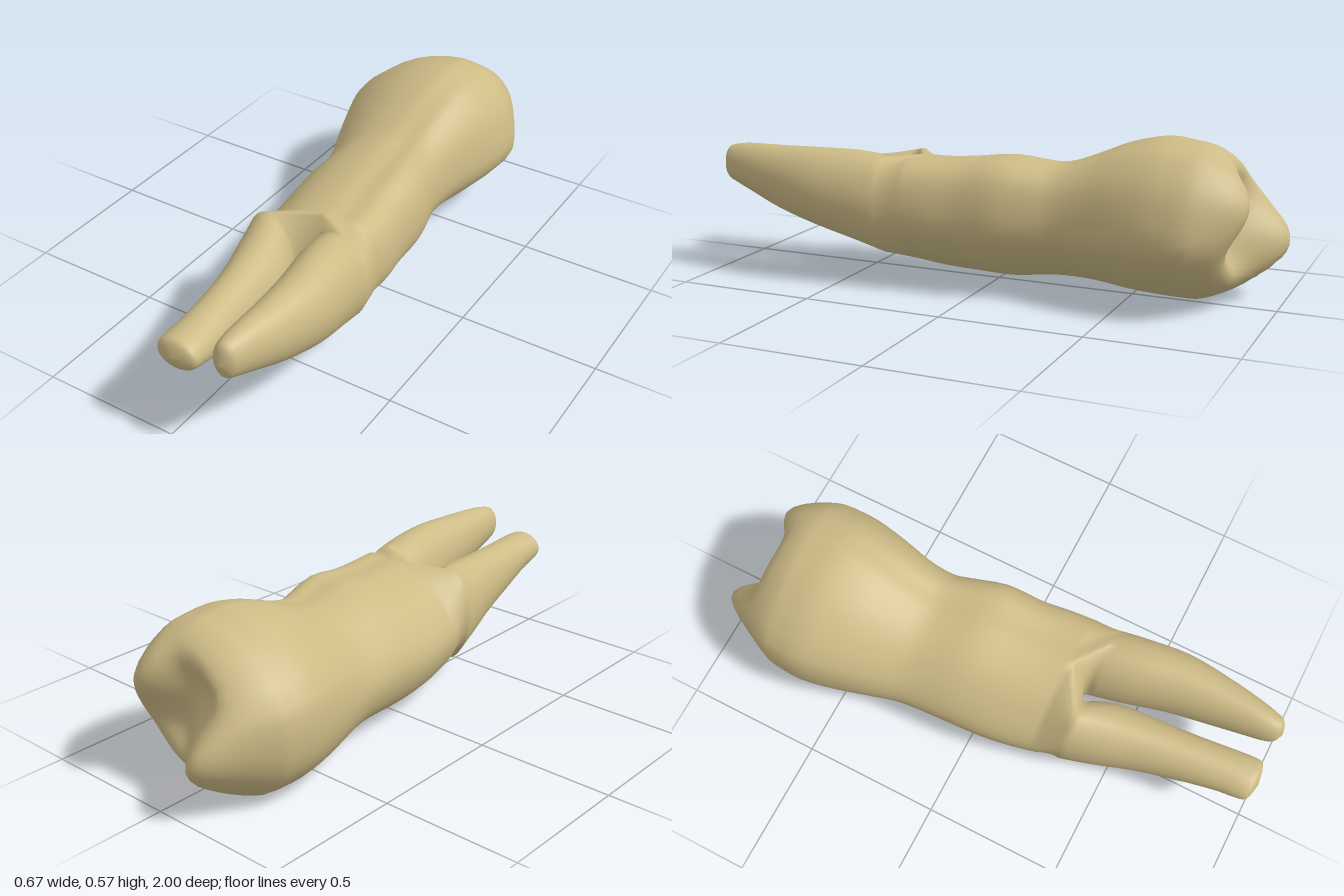
import * as THREE from 'three';
import { mergeVertices } from 'three/addons/utils/BufferGeometryUtils.js';

const N = 48, H = N / 2; // points per ring; half a ring belongs to each root

// Outlines, clockwise seen from +z, starting at the top of the groove between the roots
const CROWN = [[.06, .567], [.13, .555], [.2, .53], [.28, .45], [.32, .36], [.335, .24], [.26, .14], [.15, .06],
  [.07, .025], [-.02, .008], [-.1, 0], [-.2, .02], [-.3, .11], [-.335, .22], [-.315, .37], [-.13, .52]];
const NECK = [[.06, .465], [.14, .462], [.21, .465], [.27, .42], [.3, .33], [.295, .22], [.23, .13], [.14, .065],
  [.07, .035], [0, .03], [-.08, .035], [-.17, .07], [-.22, .14], [-.235, .23], [-.19, .32], [-.08, .42]];

// Body sections: z, xMin, xMax, yMin, yMax, blend from crown to neck outline
const BODY = [
  [-.72, -.33, .31, 0, .557, 0], [-.62, -.335, .305, 0, .567, 0], [-.5, -.31, .28, .01, .54, .2],
  [-.38, -.275, .25, .03, .49, .5], [-.28, -.245, .24, .04, .455, .8], [-.2, -.235, .255, .04, .455, 1],
  [-.08, -.228, .285, .03, .47, 1], [.05, -.22, .29, .035, .455, 1], [.16, -.205, .305, .045, .448, 1],
  [.26, -.185, .31, .06, .45, 1]];

// Root sections: z, xMin, xMax, yMin, yMax
const LEFT_ROOT = [
  [.34, .08, .318, .11, .455], [.45, .095, .328, .145, .468], [.6, .125, .336, .19, .47], [.75, .143, .315, .235, .466],
  [.88, .155, .285, .285, .463], [.95, .163, .265, .312, .455], [.985, .178, .248, .33, .44], [1, .21, .212, .38, .382]];
const RIGHT_ROOT = [
  [.34, -.172, .03, .08, .435], [.45, -.145, .08, .105, .415], [.6, -.1, .09, .145, .4], [.75, -.07, .097, .19, .392],
  [.88, -.052, .105, .24, .388], [.95, -.048, .108, .263, .385], [.985, -.035, .098, .28, .375], [1, .025, .027, .325, .327]];

// Smoothly adds rows between the given sections
function refine(rows, steps) {
  const out = [];
  for (let i = 0; i < rows.length - 1; i++) {
    const p = [rows[Math.max(i - 1, 0)], rows[i], rows[i + 1], rows[Math.min(i + 2, rows.length - 1)]];
    for (let s = 0; s < steps; s++) {
      const t = s / steps;
      out.push(rows[i].map((_, c) => {
        const [a, b, d, e] = p.map(r => r[c]);
        return b + .5 * t * (d - a + t * (2 * a - 5 * b + 4 * d - e + t * (3 * (b - d) + e - a)));
      }));
    }
  }
  out.push(rows[rows.length - 1]);
  return out;
}

// Samples an outline into N points scaled to a unit box
function unitOutline(points) {
  const curve = new THREE.CatmullRomCurve3(points.map(([x, y]) => new THREE.Vector3(x, y, 0)), true);
  const ring = Array.from({ length: N }, (_, i) => curve.getPoint(i / N));
  const box = new THREE.Box3().setFromPoints(ring);
  const size = box.getSize(new THREE.Vector3());
  return ring.map(p => [(p.x - box.min.x) / size.x, (p.y - box.min.y) / size.y]);
}

// Depth of the chewing surface: two cusps, a fossa and two marginal ridges
function chewingDepth(x, y) {
  const dx = x - .005, dy = y - .29;
  const u = .88 * dx + .48 * dy, v = -.48 * dx + .88 * dy;
  const bump = (a, cu, cv, su, sv) => a * Math.exp(-(((u - cu) / su) ** 2) - ((v - cv) / sv) ** 2);
  return -(.8 + bump(.215, -.19, 0, .12, .19) + bump(.145, .19, 0, .12, .19)
    + bump(.07, 0, .2, .14, .07) + bump(.07, 0, -.2, .14, .07));
}

export function createModel() {
  const enamel = new THREE.MeshStandardMaterial({ color: 0xcdbb86 });
  enamel.name = 'ivory';

  const positions = [];
  const tri = (...ps) => ps.forEach(p => positions.push(p.x, p.y, p.z));
  const stitch = rings => {
    for (let r = 0; r < rings.length - 1; r++) {
      const a = rings[r], b = rings[r + 1];
      for (let i = 0; i < N; i++) {
        const j = (i + 1) % N;
        tri(a[i], b[i], b[j]);
        tri(a[i], b[j], a[j]);
      }
    }
  };

  // Body from the widest part of the crown to the fork
  const crown = unitOutline(CROWN), neck = unitOutline(NECK);
  const body = refine(BODY, 3).map(([z, x0, x1, y0, y1, k]) => crown.map(([cx, cy], i) => new THREE.Vector3(
    THREE.MathUtils.lerp(x0, x1, THREE.MathUtils.lerp(cx, neck[i][0], k)),
    THREE.MathUtils.lerp(y0, y1, THREE.MathUtils.lerp(cy, neck[i][1], k)), z)));

  // Chewing surface: rings shrinking from the rim to the middle
  const rim = body[0], rimZ = BODY[0][0], centre = new THREE.Vector3(0, .285, rimZ);
  const radii = [0, .08, .16, .24, .32, .4, .48, .56, .64, .72, .8, .87, .93, .97, .99];
  const cap = radii.map(r => rim.map(p => {
    const q = centre.clone().lerp(p, r);
    q.z = rimZ + (chewingDepth(q.x, q.y) - rimZ) * Math.sqrt(1 - r ** 4);
    return q;
  }));
  stitch([...cap, ...body]);

  // Web of the fork, shared by both roots, from the bottom of the groove to the top
  const fork = body[body.length - 1];
  const web = Array.from({ length: H - 1 }, (_, i) => {
    const t = (i + 1) / H, p = fork[H].clone().lerp(fork[0], t);
    p.z += .05 * Math.sin(Math.PI * t);
    return p;
  });

  // Roots: each starts from half of the fork ring closed by the web
  const rootRings = (rows, side) => refine(rows, 3).map(([z, x0, x1, y0, y1]) =>
    Array.from({ length: N }, (_, i) => {
      const t = i / N * Math.PI * 2;
      return new THREE.Vector3((x0 + x1) / 2 + side * Math.sin(t) * (x1 - x0) / 2,
        (y0 + y1) / 2 + side * Math.cos(t) * (y1 - y0) / 2, z);
    }));
  stitch([[...fork.slice(0, H + 1), ...web], ...rootRings(LEFT_ROOT, 1)]);
  stitch([[...fork.slice(H), fork[0], ...[...web].reverse()], ...rootRings(RIGHT_ROOT, -1)]);

  // Weld everything so shading runs smoothly across the fork
  let geometry = new THREE.BufferGeometry();
  geometry.setAttribute('position', new THREE.Float32BufferAttribute(positions, 3));
  geometry = mergeVertices(geometry, 1e-5);
  geometry.computeVertexNormals();

  const tooth = new THREE.Mesh(geometry, enamel);
  tooth.name = 'toothCrownAndRoots';
  const model = new THREE.Group();
  model.name = 'tooth';
  model.add(tooth);
  return model;
}
